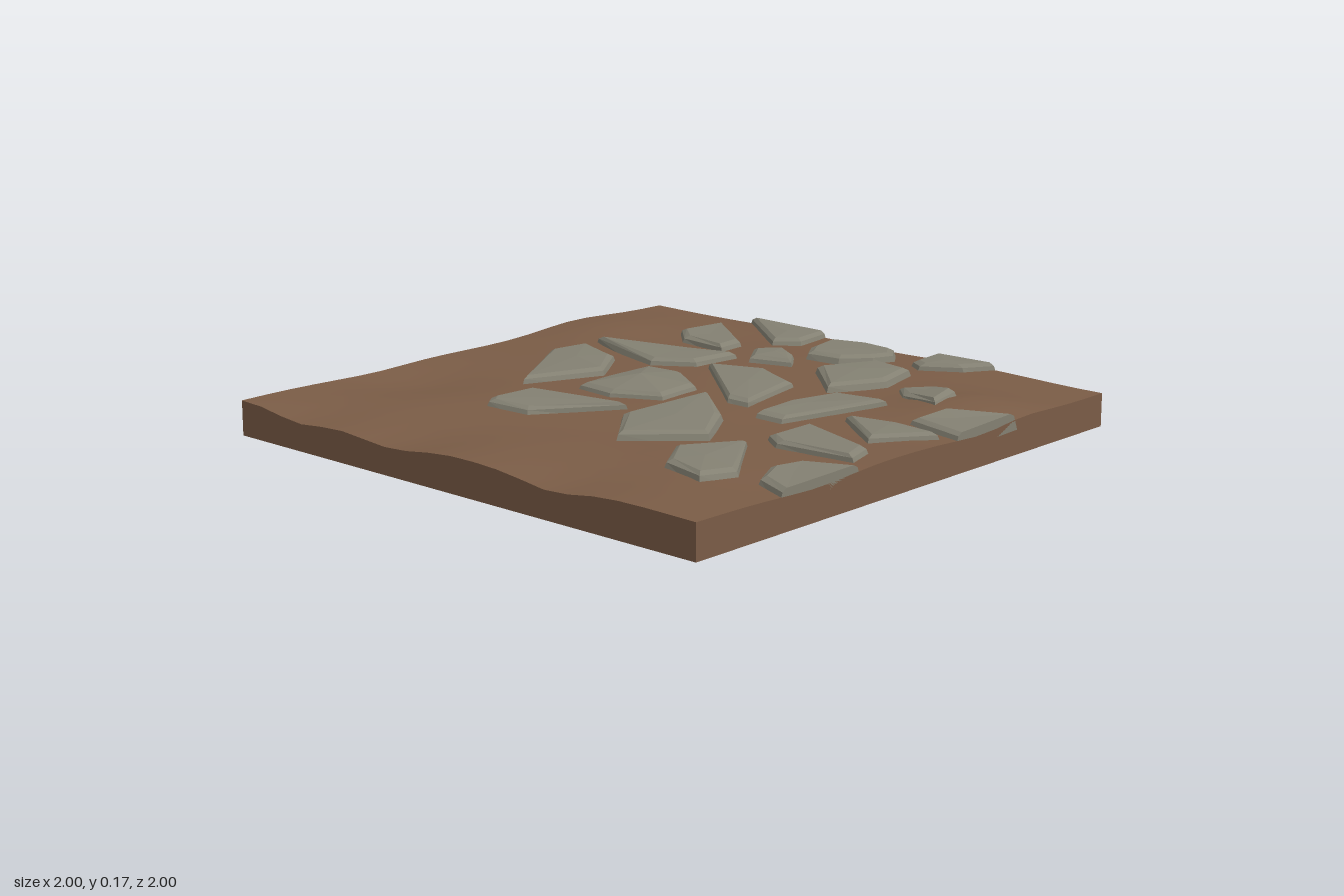
import * as THREE from 'three';

// Soft bumps and hollows of the soil: [x, z, height, radius]
const BUMPS = [
  [-0.82, -0.52, 0.03, 0.22], [0.8, -0.53, 0.035, 0.16], [-0.1, -0.05, 0.017, 0.45],
  [-0.8, 0.42, -0.02, 0.18], [-0.72, 1, -0.024, 0.14], [-0.27, 0.98, -0.026, 0.18],
  [0.43, 1, -0.022, 0.14], [0.75, 0.75, 0.008, 0.2], [1, 0.45, -0.012, 0.2],
  [1, -0.35, -0.014, 0.18], [0.1, 0.75, 0.01, 0.2], [-0.5, 0.65, 0.01, 0.2],
];

function ground(x, z) {
  let y = 0.116 + 0.004 * Math.sin(7 * x + 2 * z) * Math.cos(6 * z - x);
  for (const [bx, bz, h, r] of BUMPS) {
    y += h * Math.exp(-((x - bx) ** 2 + (z - bz) ** 2) / (r * r));
  }
  return y;
}

function createSoil(material) {
  const soil = new THREE.Group();
  soil.name = 'soil';
  const n = 20;

  // Uneven top surface
  const top = new THREE.PlaneGeometry(2, 2, n, n).rotateX(-Math.PI / 2);
  const p = top.attributes.position;
  for (let i = 0; i < p.count; i++) p.setY(i, ground(p.getX(i), p.getZ(i)));
  top.computeVertexNormals();
  const topMesh = new THREE.Mesh(top, material);
  topMesh.name = 'soilSurface';
  soil.add(topMesh);

  // Four side walls, each following the edge of the surface
  for (let side = 0; side < 4; side++) {
    const wall = new THREE.PlaneGeometry(2, 1, n, 1).translate(0, 0.5, 1).rotateY(side * Math.PI / 2);
    const w = wall.attributes.position;
    for (let i = 0; i < w.count; i++) {
      w.setY(i, w.getY(i) > 0.5 ? ground(w.getX(i), w.getZ(i)) : 0);
    }
    const mesh = new THREE.Mesh(wall, material);
    mesh.name = 'soilWall';
    soil.add(mesh);
  }
  return soil;
}

// Faceted slab, open below: flared base, rim, bevelled top edge and slightly raised middle
function createStone(outline, lift, dome, material) {
  const n = outline.length;
  const cx = outline.reduce((s, q) => s + q[0], 0) / n;
  const cz = outline.reduce((s, q) => s + q[1], 0) / n;

  const ring = (inset, height) => outline.map(([x, z]) => {
    const k = inset / Math.hypot(x - cx, z - cz);
    // Corners on the tile border stay on it, so the slab is cut flush
    const px = Math.abs(x) === 1 ? x : x - (x - cx) * k;
    const pz = Math.abs(z) === 1 ? z : z - (z - cz) * k;
    return [
      THREE.MathUtils.clamp(px, -1, 1),
      height(x, z),
      THREE.MathUtils.clamp(pz, -1, 1),
    ];
  });

  const rings = [
    ring(-0.012, (x, z) => ground(x, z) - 0.035),
    ring(0.01, (x, z) => ground(x, z) + lift - 0.01),
    ring(0.032, (x, z) => ground(x, z) + lift),
  ];
  const centre = [cx, ground(cx, cz) + lift + dome, cz];
  const pos = [];
  for (let i = 0; i < n; i++) {
    const j = (i + 1) % n;
    for (let r = 0; r < 2; r++) {
      const a = rings[r][i], b = rings[r][j], c = rings[r + 1][j], d = rings[r + 1][i];
      pos.push(...a, ...c, ...b, ...a, ...d, ...c);
    }
    pos.push(...rings[2][i], ...centre, ...rings[2][j]);
  }
  const geometry = new THREE.BufferGeometry();
  geometry.setAttribute('position', new THREE.Float32BufferAttribute(pos, 3));
  geometry.computeVertexNormals();
  const mesh = new THREE.Mesh(geometry, material);
  mesh.name = 'pavingStone';
  return mesh;
}

export function createModel() {
  const model = new THREE.Group();
  model.name = 'stonePathTile';
  const soilMaterial = new THREE.MeshStandardMaterial({ color: 0x7a5c46, side: THREE.DoubleSide });
  const stoneMaterial = new THREE.MeshStandardMaterial({ color: 0x838072, side: THREE.DoubleSide, flatShading: true });
  model.add(createSoil(soilMaterial));

  const stones = new THREE.Group();
  stones.name = 'pavingStones';
  model.add(stones);
  // Outlines run clockwise as seen from above, as [x, z] corners
  const add = (outline, lift = 0.024, dome = 0.003) =>
    stones.add(createStone(outline, lift, dome, stoneMaterial));

  // Back row
  add([[-0.54, -1], [-0.18, -1], [-0.16, -0.84], [-0.24, -0.77]]);
  add([[-0.1, -0.92], [0.03, -0.98], [0.17, -0.96], [0.23, -0.88], [0.2, -0.8], [0.12, -0.7], [-0.01, -0.68], [-0.07, -0.77]], 0.03);
  add([[0.3, -1], [0.57, -1], [0.51, -0.9], [0.37, -0.82], [0.31, -0.86]]);
  add([[-0.57, -0.88], [-0.31, -0.69], [-0.3, -0.57], [-0.51, -0.59], [-0.6, -0.68]]);
  add([[-0.14, -0.72], [-0.04, -0.66], [0.04, -0.55], [-0.11, -0.49], [-0.21, -0.63]]);
  add([[0.24, -0.78], [0.4, -0.75], [0.44, -0.57], [0.34, -0.37], [0.14, -0.55], [0.16, -0.62]], 0.03, 0.006);
  add([[0.58, -0.65], [0.74, -0.55], [0.75, -0.42], [0.57, -0.47], [0.49, -0.56]], 0.018);

  // Middle rows
  add([[-0.37, -0.5], [-0.18, -0.52], [-0.19, -0.32], [-0.33, -0.23], [-0.7, -0.35]]);
  add([[0.03, -0.42], [0.22, -0.35], [0.3, -0.02], [0.22, -0.01], [-0.15, -0.33]]);
  add([[0.41, -0.36], [0.6, -0.37], [0.49, 0.04], [0.39, 0.05], [0.36, -0.13]]);
  add([[0.81, -0.38], [1, -0.51], [1, -0.2], [0.79, -0.23]]);
  add([[0.79, -0.19], [0.96, -0.17], [0.83, 0.03], [0.61, -0.13]]);
  add([[-0.67, -0.27], [-0.47, -0.21], [-0.34, -0.02], [-0.47, 0.24], [-0.71, -0.13]], 0.026);
  add([[-0.28, -0.18], [-0.14, -0.19], [0.04, -0.07], [0.05, 0.11], [-0.12, 0.19], [-0.28, 0.17], [-0.3, 0.03]], 0.022, 0.022);
  add([[0.58, 0.01], [0.91, 0.12], [0.94, 0.23], [0.65, 0.26], [0.57, 0.2]]);

  // Front row
  add([[-0.36, 0.3], [0.03, 0.25], [-0.17, 0.51], [-0.34, 0.53], [-0.37, 0.49]]);
  add([[0.14, -0.01], [0.34, 0.14], [0.46, 0.34], [0.25, 0.54], [0.09, 0.35]], 0.03, 0.004);
  add([[0.58, 0.3], [0.79, 0.58], [0.75, 0.71], [0.57, 0.67], [0.46, 0.5]], 0.026);
  add([[0.84, 0.34], [1, 0.28], [1, 0.64], [0.87, 0.59], [0.8, 0.46]]);

  return model;
}
